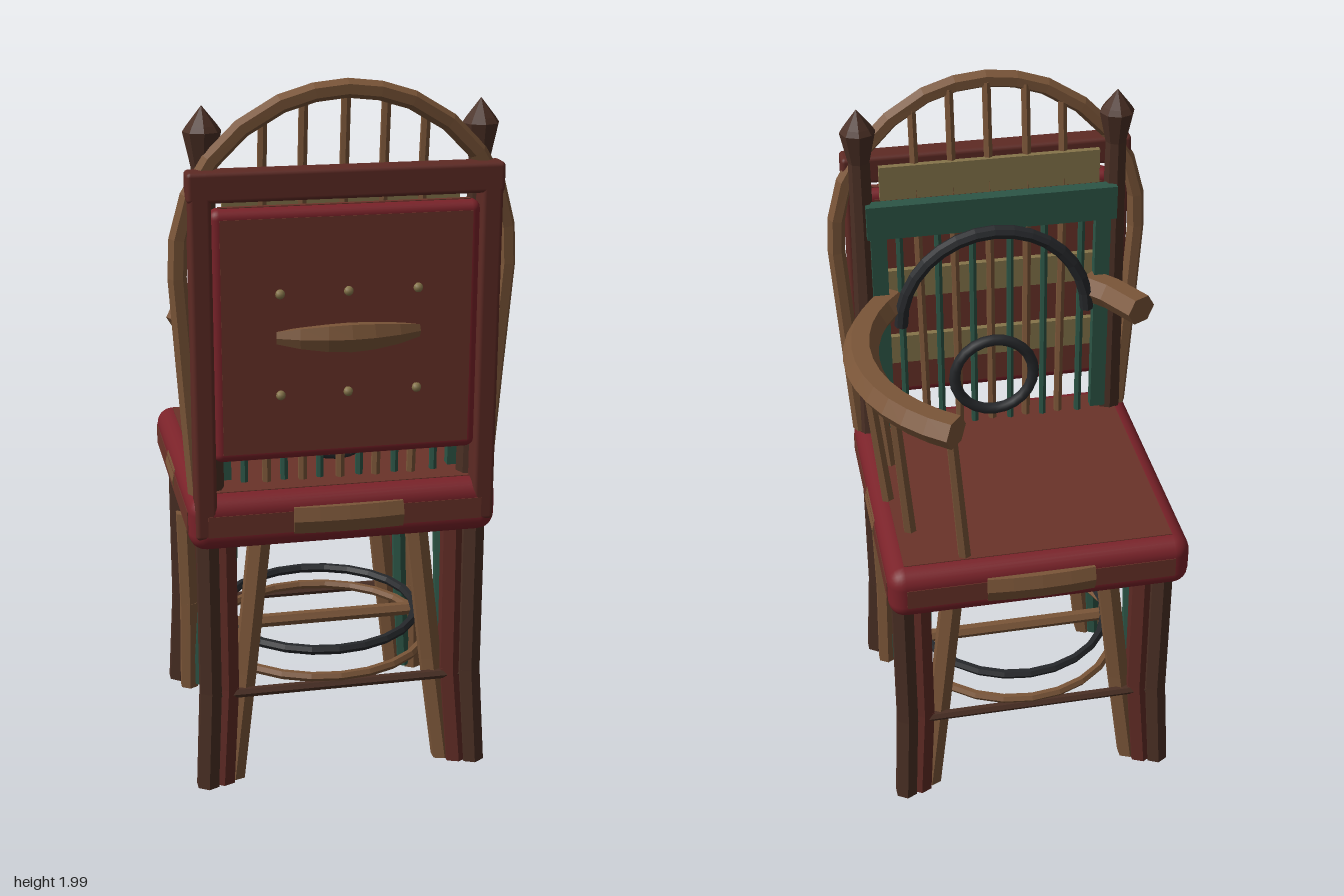
import * as THREE from 'three';
import { RoundedBoxGeometry } from 'three/addons/geometries/RoundedBoxGeometry.js';

const mat = (name, color) => new THREE.MeshStandardMaterial({ name, color });
const V = (x, y, z) => new THREE.Vector3(x, y, z);

// Faceted normals for the low-poly wood
function flat(g) {
  const f = g.index ? g.toNonIndexed() : g;
  f.computeVertexNormals();
  return f;
}

// Sweep an n-sided section of width w and height h (along up) through points
function sweep(pts, w, h, up, { sides = 6, closed = false, taper = () => 1 } = {}) {
  const n = pts.length, pos = [], idx = [];
  pts.forEach((p, i) => {
    const a = closed ? pts[(i + n - 1) % n] : pts[Math.max(i - 1, 0)];
    const b = closed ? pts[(i + 1) % n] : pts[Math.min(i + 1, n - 1)];
    const side = b.clone().sub(a).cross(up).normalize();
    const k = taper(i / (n - 1));
    for (let j = 0; j < sides; j++) {
      const t = (j / sides) * Math.PI * 2;
      const q = p.clone().addScaledVector(side, Math.cos(t) * w * k / 2).addScaledVector(up, Math.sin(t) * h * k / 2);
      pos.push(q.x, q.y, q.z);
    }
  });
  for (let i = 0; i < (closed ? n : n - 1); i++) {
    for (let j = 0; j < sides; j++) {
      const a = i * sides + j, b = i * sides + (j + 1) % sides;
      const c = ((i + 1) % n) * sides + j, d = ((i + 1) % n) * sides + (j + 1) % sides;
      idx.push(a, c, b, b, c, d);
    }
  }
  if (!closed) {
    const e = (n - 1) * sides;
    for (let j = 1; j < sides - 1; j++) idx.push(0, j, j + 1, e, e + j + 1, e + j);
  }
  const g = new THREE.BufferGeometry();
  g.setAttribute('position', new THREE.Float32BufferAttribute(pos, 3));
  g.setIndex(idx);
  return flat(g);
}

// Points along a circular arc in the xy or xz plane
function arc(cx, cy, cz, r, from, to, n, vertical) {
  return Array.from({ length: n + 1 }, (_, i) => {
    const t = from + (to - from) * i / n, c = Math.cos(t) * r, s = Math.sin(t) * r;
    return vertical ? V(cx + c, cy + s, cz) : V(cx + c, cy, cz + s);
  });
}

export function createModel() {
  const group = new THREE.Group();
  const wood = mat('wood', 0x7a5538), dark = mat('darkWood', 0x4a2f24), red = mat('redTrim', 0x7a2229);
  const leather = mat('leather', 0x6a3329), maroon = mat('maroonWood', 0x5e2a24), tan = mat('tanWood', 0x85744a);
  const green = mat('greenWood', 0x2c5546), black = mat('blackIron', 0x26282b);
  const UP = V(0, 1, 0), BACK = V(0, 0, 1);

  const add = (name, g, m, x = 0, y = 0, z = 0) => {
    const o = new THREE.Mesh(g, m);
    o.name = name;
    o.position.set(x, y, z);
    group.add(o);
    return o;
  };
  const box = (name, m, w, h, d, x, y, z) => add(name, new THREE.BoxGeometry(w, h, d), m, x, y, z);
  // Straight turned bar between two points
  const bar = (name, m, a, b, ra, rb = ra, sides = 6) => {
    const d = b.clone().sub(a);
    const o = add(name, flat(new THREE.CylinderGeometry(rb, ra, d.length(), sides)), m);
    o.position.copy(a).addScaledVector(d, 0.5);
    o.quaternion.setFromUnitVectors(UP, d.normalize());
    return o;
  };

  // Upholstered block: red rounded edges with thin leather plates on its flats
  const cushion = (name, w, h, d, r, x, y, z) => {
    add(name + 'Edge', new RoundedBoxGeometry(w, h, d, 3, r), red, x, y, z);
    const t = 0.004, a = w - 2 * r, b = h - 2 * r, c = d - 2 * r;
    box(name + 'Leather', leather, w + t, b, c, x, y, z);
    box(name + 'Leather', leather, a, h + t, c, x, y, z);
    box(name + 'Leather', leather, a, b, d + t, x, y, z);
  };
  cushion('seat', 0.85, 0.155, 0.84, 0.048, -0.005, 0.828, -0.01);
  cushion('backPanel', 0.715, 0.68, 0.065, 0.025, -0.003, 1.34, 0.365);

  // Bowed wooden patches around the seat
  for (const s of [-1, 1]) {
    const zMid = s > 0 ? 0.405 : -0.425;
    add('seatPatch', sweep([-0.15, -0.08, 0, 0.08, 0.15].map(x => V(x, 0.832, zMid + s * 0.008 * (1 - (x / 0.15) ** 2))), 0.045, 0.085, UP), wood);
    add('seatPatch', sweep([-0.1, -0.05, 0, 0.05, 0.07].map(z => V(s * 0.415 - 0.005, 0.832, z - 0.01)), 0.035, 0.085, UP), wood);
  }

  // Back handle and studs
  add('backHandle', sweep([-0.19, -0.13, -0.06, 0, 0.06, 0.13, 0.19].map(x => V(x, 1.34, 0.395 + 0.035 * (1 - (x / 0.19) ** 2))),
    0.05, 0.085, UP, { taper: t => 0.45 + 0.55 * Math.sin(t * Math.PI) }), wood);
  for (const x of [-0.185, -0.005, 0.18]) for (const y of [1.19, 1.462])
    add('stud', new THREE.SphereGeometry(0.013, 8, 6), tan, x, y, 0.42);

  // Rear frame
  add('frameTop', new RoundedBoxGeometry(0.83, 0.08, 0.07, 2, 0.012), maroon, -0.003, 1.74, 0.375);
  for (const s of [-1, 1]) {
    add('frameSide', new RoundedBoxGeometry(0.058, 0.99, 0.07, 2, 0.012), maroon, s * 0.382 - 0.003, 1.285, 0.375);
    // Corner posts with pointed finials
    bar('backPost', dark, V(s * 0.365, 0.8, 0.315), V(s * 0.365, 1.8, 0.32), 0.042, 0.03, 8);
    const prof = [[0, 1.77], [0.028, 1.77], [0.05, 1.87], [0.04, 1.885], [0, 1.935]].map(p => new THREE.Vector2(...p));
    add('finial', flat(new THREE.LatheGeometry(prof, 8)), dark, s * 0.365, 0, 0.32);
    box('greenUpright', green, 0.045, 0.7, 0.03, s * 0.325, 1.27, 0.29);
  }

  // Bent bow over the back
  const half = [[0.4, 0.9, 0.33], [0.42, 1.2, 0.335], [0.44, 1.5, 0.345], [0.435, 1.6, 0.345], [0.405, 1.71, 0.35],
    [0.35, 1.8, 0.355], [0.27, 1.88, 0.36], [0.17, 1.94, 0.367], [0.085, 1.966, 0.37]];
  const bow = [...half.map(p => V(...p)), V(0, 1.975, 0.37), ...half.slice().reverse().map(p => V(-p[0], p[1], p[2]))];
  add('backBow', sweep(bow, 0.05, 0.055, BACK), wood);

  // Back slats and spindles
  box('greenRail', green, 0.72, 0.1, 0.04, -0.003, 1.61, 0.29);
  for (const [y, h] of [[1.71, 0.1], [1.39, 0.09], [1.17, 0.09]]) box('tanSlat', tan, 0.63, h, 0.018, -0.003, y, 0.32);
  for (const x of [-0.215, -0.11, 0, 0.105, 0.21]) {
    const top = 1.97 - 1.1 * x * x;
    bar('backSpindle', wood, V(x * 0.95, 0.89, 0.297), V(x, 1.72, 0.325), 0.013);
    bar('backSpindle', wood, V(x, 1.7, 0.325), V(x, top, 0.355), 0.013);
  }
  for (const x of [-0.265, -0.155, -0.055, 0.055, 0.155, 0.265])
    bar('greenSpindle', green, V(x, 0.89, 0.29), V(x, 1.6, 0.295), 0.011);

  // Iron hoop and ring inside the back
  add('ironHoop', sweep(arc(0, 1.29, 0.247, 0.275, 0, Math.PI, 16, true), 0.04, 0.045, BACK, { sides: 8 }), black);
  add('ironRing', new THREE.TorusGeometry(0.12, 0.017, 8, 24), black, 0, 1.08, 0.262);

  // Full arm, broken arm and arm spindles
  add('arm', sweep(arc(-0.05, 1.34, -0.02, 0.47, -0.95, 0.76, 12), 0.1, 0.09, UP), wood);
  add('brokenArm', sweep([V(-0.29, 1.34, 0.29), V(-0.345, 1.34, 0.225), V(-0.405, 1.34, 0.115)], 0.1, 0.09, UP), wood);
  for (const [x0, z0, x1, z1] of [[0.34, 0.11, 0.38, 0.14], [0.37, -0.06, 0.415, -0.055], [0.33, -0.22, 0.365, -0.25], [0.2, -0.36, 0.235, -0.39]])
    bar('armSpindle', wood, V(x0, 0.89, z0), V(x1, 1.33, z1), 0.019, 0.016);

  // Bundled legs at each corner
  for (const sx of [-1, 1]) for (const sz of [-1, 1]) {
    const leg = (name, m, top, mid, foot, r) => {
      const p = [top, mid, foot].map(q => V(q[0] * sx, q[1], q[2] * sz));
      bar(name, m, p[1], p[0], r);
      bar(name, m, p[2], p[1], r);
    };
    leg('cornerLeg', dark, [0.375, 0.76, 0.325], [0.375, 0.3, 0.325], [0.39, 0.01, 0.34], 0.034);
    leg('splayedLeg', wood, [0.22, 0.76, 0.275], [0.27, 0.33, 0.285], [0.31, 0.01, 0.3], 0.034);
    leg('redLeg', maroon, [0.325, 0.76, 0.3], [0.325, 0.3, 0.305], [0.345, 0.01, 0.325], 0.036);
    leg('greenLeg', green, [0.3, 0.76, 0.25], [0.315, 0.3, 0.255], [0.335, 0.02, 0.27], 0.022);
    leg('braceLeg', wood, [0.365, 0.6, 0.28], [0.36, 0.3, 0.275], [0.365, 0.01, 0.275], 0.03);
  }

  // Stretchers and foot rings
  for (const s of [-1, 1]) bar('stretcher', dark, V(-0.36, 0.283, s * 0.32), V(0.36, 0.283, s * 0.32), 0.014);
  bar('crossBar', wood, V(-0.33, 0.335, -0.02), V(0.33, 0.335, -0.02), 0.02);
  const ring = (name, m, r, y) => add(name, sweep(arc(0, y, 0, r, 0, Math.PI * 2, 24).slice(0, 24), 0.028, 0.028, UP, { closed: true }), m);
  ring('woodFootRing', wood, 0.32, 0.305);
  ring('ironFootRing', black, 0.29, 0.375);

  return group;
}
